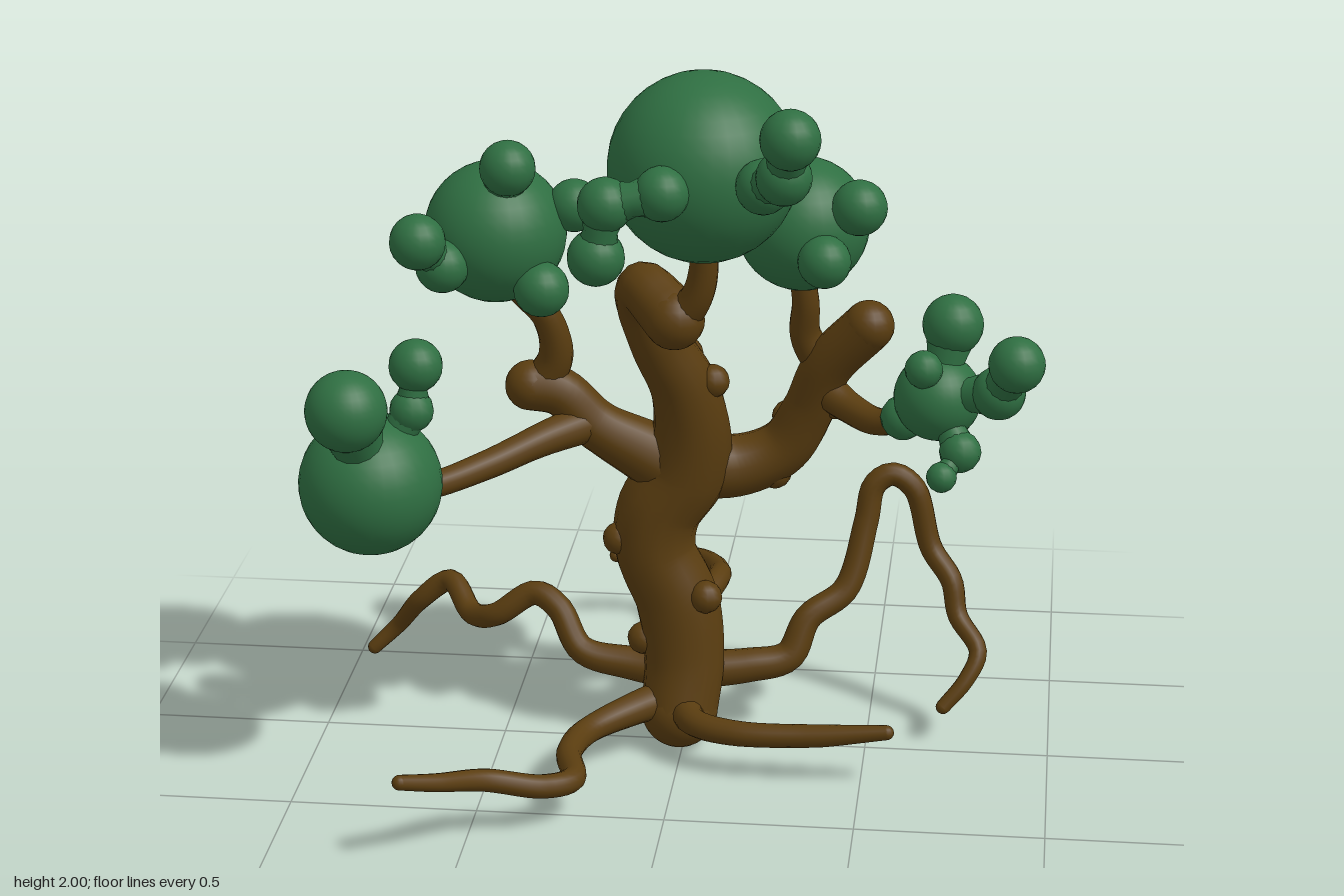
import * as THREE from 'three';
import { mergeGeometries } from 'three/addons/utils/BufferGeometryUtils.js';

const bark = new THREE.MeshStandardMaterial({ color: 0x5a3d10 });
const leaf = new THREE.MeshStandardMaterial({ color: 0x2f6f42 });

// Small balls get fewer sides
function ball(x, y, z, r) {
  const sides = r > 0.1 ? 32 : r > 0.06 ? 20 : 14;
  return new THREE.SphereGeometry(r, sides, Math.round(sides * 0.6)).translate(x, y, z);
}

// Smooth limb through the points, with radii spread evenly along it and round ends
function limb(points, radii) {
  const curve = new THREE.CatmullRomCurve3(points.map(p => new THREE.Vector3(...p)));
  const segs = points.length * 6, sides = 14;
  const geo = new THREE.TubeGeometry(curve, segs, 1, sides, false);
  const pos = geo.attributes.position, v = new THREE.Vector3();
  for (let i = 0; i <= segs; i++) {
    const c = curve.getPointAt(i / segs);
    const f = (i / segs) * (radii.length - 1), k = Math.min(Math.floor(f), radii.length - 2);
    const r = THREE.MathUtils.lerp(radii[k], radii[k + 1], f - k);
    for (let j = 0; j <= sides; j++) {
      const n = i * (sides + 1) + j;
      v.fromBufferAttribute(pos, n).sub(c).multiplyScalar(r).add(c);
      pos.setXYZ(n, v.x, v.y, v.z);
    }
  }
  const caps = [0, points.length - 1].map(i => ball(...points[i], radii[i ? radii.length - 1 : 0]));
  return mergeGeometries([geo, ...caps]);
}

// Leaf ball with chains of smaller balls, joined by narrow necks
function foliage(core, chains) {
  const parts = [ball(...core)];
  for (const chain of chains) {
    let prev = core;
    for (const b of chain) {
      parts.push(ball(...b));
      const r = Math.min(prev[3], b[3]);
      parts.push(limb([prev.slice(0, 3), b.slice(0, 3)], [r * 0.9, r * 0.62, r * 0.9]));
      prev = b;
    }
  }
  return mergeGeometries(parts);
}

export function createModel() {
  const model = new THREE.Group();
  const add = (name, geo, mat) => {
    const mesh = new THREE.Mesh(geo, mat);
    mesh.name = name;
    model.add(mesh);
  };

  // Trunk, curling forward at the top
  add('trunk', limb([
    [-0.01, 0.11, 0.03], [0, 0.25, 0], [-0.02, 0.42, -0.01], [-0.08, 0.57, -0.01], [-0.07, 0.68, -0.01],
    [0, 0.8, -0.01], [0.02, 0.92, 0], [0, 1.05, 0.02], [-0.06, 1.18, 0.05], [-0.1, 1.3, 0.08],
    [-0.09, 1.36, 0.14], [-0.03, 1.33, 0.21], [0, 1.31, 0.24],
  ], [0.105, 0.11, 0.115, 0.11, 0.115, 0.12, 0.1, 0.085, 0.075, 0.07, 0.08]), bark);

  // Main branches
  add('leftBranch', limb([[0, 0.8, 0], [-0.12, 0.86, 0], [-0.24, 0.93, 0.01], [-0.33, 1.02, 0.02],
    [-0.41, 1.04, 0.03]], [0.1, 0.085, 0.07, 0.065, 0.068]), bark);
  add('rightBranch', limb([[0, 0.82, -0.02], [0.14, 0.8, -0.06], [0.26, 0.85, -0.08], [0.33, 0.97, -0.07],
    [0.38, 1.1, -0.04], [0.49, 1.23, 0]], [0.1, 0.085, 0.075, 0.07, 0.068, 0.068]), bark);

  // Twigs that carry the foliage
  const twigs = [
    [[0, 1.3, 0.24], [0.06, 1.38, 0.26], [0.08, 1.47, 0.27], [0.07, 1.6, 0.28]],
    [[-0.38, 1.04, 0.02], [-0.34, 1.13, 0.03], [-0.36, 1.24, 0.05], [-0.44, 1.34, 0.08], [-0.48, 1.45, 0.1]],
    [[-0.24, 0.94, 0.01], [-0.36, 0.92, 0.11], [-0.5, 0.88, 0.22], [-0.64, 0.86, 0.34], [-0.75, 0.88, 0.42]],
    [[0.38, 1.08, -0.06], [0.32, 1.18, -0.05], [0.32, 1.28, -0.03], [0.3, 1.42, -0.02]],
    [[0.35, 1.05, -0.06], [0.44, 1, 0], [0.53, 0.99, 0.08], [0.64, 1.04, 0.13]],
  ];
  twigs.forEach(p => add('twig', limb(p, [0.055, 0.042, 0.036, 0.034]), bark));

  // Roots
  const roots = [
    [[0, 0.14, 0], [0.04, 0.13, 0.15], [0.15, 0.13, 0.21], [0.36, 0.14, 0.23], [0.57, 0.165, 0.24]],
    [[0, 0.2, -0.03], [0.17, 0.21, -0.06], [0.28, 0.23, -0.09], [0.33, 0.33, -0.13], [0.43, 0.4, -0.18],
      [0.48, 0.58, -0.24], [0.5, 0.68, -0.26], [0.55, 0.71, -0.27], [0.61, 0.67, -0.27], [0.66, 0.5, -0.26],
      [0.72, 0.42, -0.22], [0.74, 0.33, -0.19], [0.8, 0.25, -0.13], [0.77, 0.18, -0.09], [0.71, 0.11, -0.06]],
    [[0, 0.16, 0], [-0.03, 0.22, -0.14], [0.01, 0.28, -0.3], [0.05, 0.305, -0.45], [0.04, 0.28, -0.56],
      [0, 0.25, -0.69], [-0.07, 0.22, -0.8], [-0.18, 0.21, -0.83], [-0.29, 0.21, -0.81]],
    [[0, 0.2, -0.02], [-0.15, 0.21, -0.04], [-0.29, 0.24, -0.05], [-0.36, 0.34, -0.1], [-0.43, 0.37, -0.13],
      [-0.54, 0.3, -0.13], [-0.62, 0.27, -0.2], [-0.7, 0.32, -0.31], [-0.79, 0.25, -0.33],
      [-0.87, 0.14, -0.39], [-0.94, 0.07, -0.385]],
    [[0, 0.15, 0], [-0.12, 0.14, 0.1], [-0.24, 0.12, 0.22], [-0.27, 0.12, 0.36], [-0.24, 0.12, 0.52],
      [-0.31, 0.13, 0.59], [-0.45, 0.17, 0.65], [-0.56, 0.21, 0.76], [-0.64, 0.24, 0.83]],
  ];
  roots.forEach(p => add('root', limb(p, [0.055, 0.037, 0.033, 0.031, 0.02]), bark));

  // Knots on the bark
  const knots = [
    [-0.175, 0.605, 0.02], [0.065, 0.46, 0.06], [-0.06, 0.64, -0.125], [0, 0.37, -0.1], [-0.11, 0.31, 0.01],
    [0.08, 1.07, 0.03], [-0.04, 1.24, -0.02], [0, 1.11, -0.07], [0.05, 0.8, -0.1], [0.24, 0.78, -0.07],
    [0.4, 0.99, -0.06], [0.27, 0.92, -0.13], [-0.3, 0.92, 0.02],
  ];
  knots.forEach(k => add('knot', ball(...k, 0.045), bark));

  // Foliage: core ball, then chains outward, as x, y, z, radius
  add('topFoliage', foliage([0.08, 1.735, 0.285, 0.245], [
    [[0.25, 1.75, 0.5, 0.07], [0.31, 1.81, 0.62, 0.07], [0.33, 1.925, 0.69, 0.075]],
    [[0, 1.73, 0.52, 0.07], [-0.14, 1.7, 0.53, 0.07], [-0.165, 1.56, 0.52, 0.073]],
  ]), leaf);
  add('upperLeftFoliage', foliage([-0.485, 1.49, 0.1, 0.187], [
    [[-0.435, 1.69, 0.2, 0.073]],
    [[-0.6, 1.44, 0.26, 0.07], [-0.65, 1.525, 0.33, 0.073]],
    [[-0.35, 1.37, 0.21, 0.073]],
    [[-0.28, 1.56, 0.08, 0.07]],
  ]), leaf);
  add('lowerLeftFoliage', foliage([-0.77, 0.9, 0.435, 0.187], [
    [[-0.795, 1.155, 0.595, 0.105]],
    [[-0.66, 1.1, 0.42, 0.058], [-0.65, 1.215, 0.4, 0.07]],
  ]), leaf);
  add('upperRightFoliage', foliage([0.31, 1.5, -0.02, 0.177], [
    [[0.465, 1.58, 0.09, 0.073]],
    [[0.38, 1.45, 0.15, 0.07]],
    [[0.235, 1.66, -0.08, 0.073]],
  ]), leaf);
  add('lowerRightFoliage', foliage([0.68, 1.09, 0.145, 0.115], [
    [[0.715, 1.285, 0.13, 0.08]],
    [[0.645, 1.19, 0.22, 0.05]],
    [[0.84, 1.14, 0.24, 0.07], [0.885, 1.25, 0.33, 0.073]],
    [[0.745, 0.975, 0.24, 0.055], [0.7, 0.925, 0.3, 0.04]],
    [[0.59, 1.02, 0.12, 0.06]],
  ]), leaf);

  return model;
}
